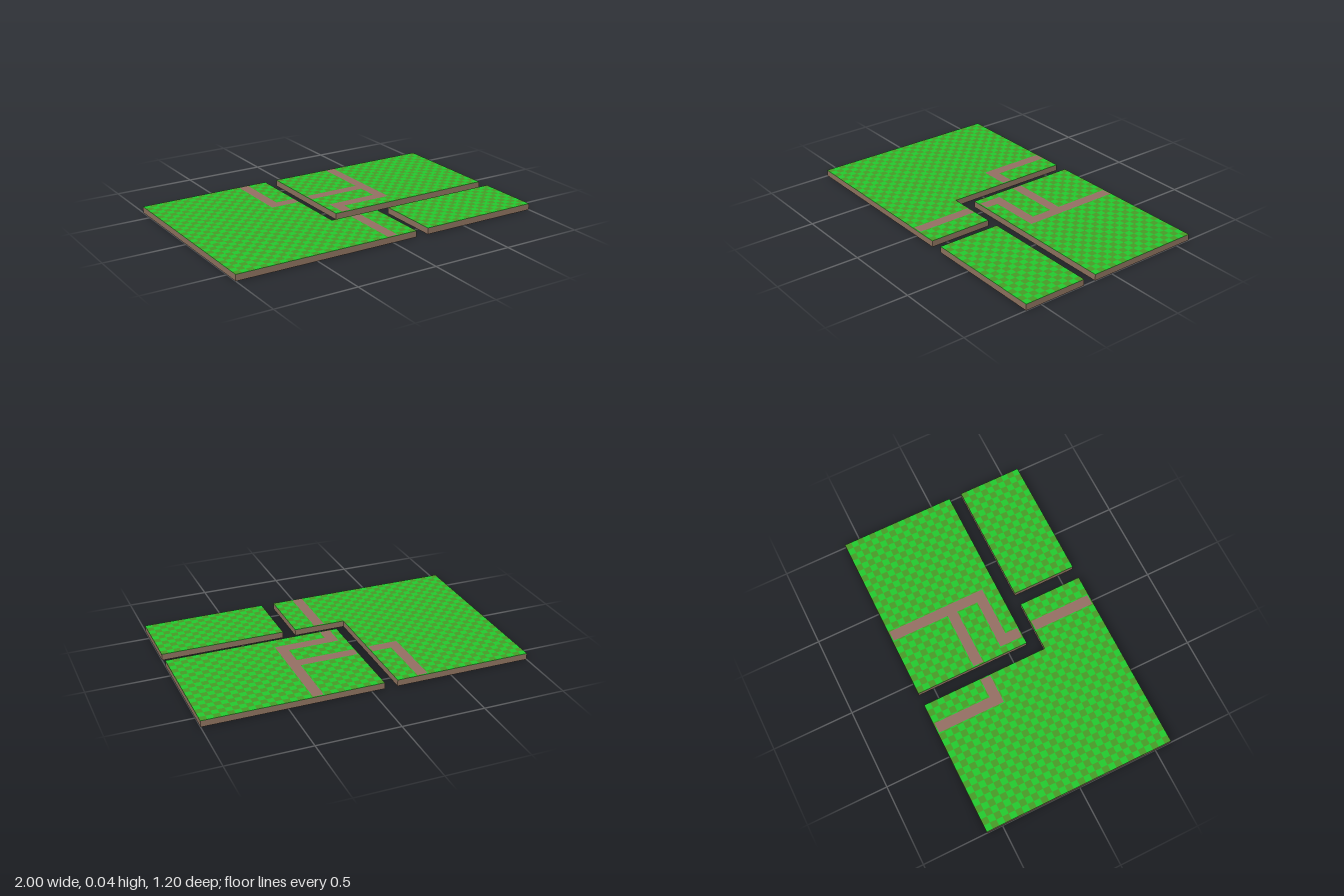
import * as THREE from 'three';
import { mergeGeometries } from 'three/addons/utils/BufferGeometryUtils.js';

const TILE = 0.04, BASE_H = 0.037, GRASS_TOP = 0.039, TILE_TOP = 0.0395, PATH_TOP = 0.04;

// Outlines and path rectangles in (x, z); rectangles are [x0, z0, x1, z1]
const PLATES = [
  {
    name: 'leftField',
    outline: [[-1, -0.6], [-0.16, -0.6], [-0.16, 0.2], [0.16, 0.2], [0.16, 0.6], [-1, 0.6]],
    areas: [[-1, -0.6, -0.16, 0.6], [-0.16, 0.2, 0.16, 0.6]],
    paths: [
      [-0.352, -0.592, -0.288, -0.168],
      [-0.288, -0.232, -0.168, -0.168],
      [-0.032, 0.208, 0.032, 0.592],
    ],
  },
  {
    name: 'backField',
    outline: [[-0.08, -0.6], [1, -0.6], [1, 0.12], [-0.08, 0.12]],
    areas: [[-0.08, -0.6, 1, 0.12]],
    paths: [
      [0.288, -0.592, 0.352, 0.032],
      [-0.072, -0.232, 0.288, -0.168],
      [-0.032, -0.032, 0.288, 0.032],
      [-0.032, 0.032, 0.032, 0.112],
    ],
  },
  {
    name: 'frontField',
    outline: [[0.24, 0.2], [1, 0.2], [1, 0.6], [0.24, 0.6]],
    areas: [[0.24, 0.2, 1, 0.6]],
    paths: [],
  },
];

// Upright slab from an (x, z) outline
function slab(outline, y0, y1) {
  const shape = new THREE.Shape(outline.map(([x, z]) => new THREE.Vector2(x, -z)));
  return new THREE.ExtrudeGeometry(shape, { depth: y1 - y0, bevelEnabled: false })
    .rotateX(-Math.PI / 2)
    .translate(0, y0, 0);
}

// Flat upward-facing rectangle
function patch([x0, z0, x1, z1], y) {
  return new THREE.PlaneGeometry(x1 - x0, z1 - z0)
    .rotateX(-Math.PI / 2)
    .translate((x0 + x1) / 2, y, (z0 + z1) / 2);
}

// Every second square of the grid that covers the given areas
function checker(areas) {
  const tiles = [];
  for (const [x0, z0, x1, z1] of areas) {
    const [i0, j0, i1, j1] = [x0 + 1, z0 + 0.6, x1 + 1, z1 + 0.6].map((v) => Math.round(v / TILE));
    for (let i = i0; i < i1; i++) {
      for (let j = j0; j < j1; j++) {
        if ((i + j) % 2 === 0) continue;
        const x = -1 + i * TILE, z = -0.6 + j * TILE;
        tiles.push(patch([x, z, x + TILE, z + TILE], TILE_TOP));
      }
    }
  }
  return mergeGeometries(tiles);
}

export function createModel() {
  const model = new THREE.Group();
  model.name = 'groundPlates';
  const soil = new THREE.MeshStandardMaterial({ color: 0x8f7360 });
  const grass = new THREE.MeshStandardMaterial({ color: 0x22cc2e });
  const darkGrass = new THREE.MeshStandardMaterial({ color: 0x489e28 });
  const dirt = new THREE.MeshStandardMaterial({ color: 0x967064 });

  for (const { name, outline, areas, paths } of PLATES) {
    const plate = new THREE.Group();
    plate.name = name;
    const add = (part, geometry, material) => {
      const mesh = new THREE.Mesh(geometry, material);
      mesh.name = part;
      plate.add(mesh);
    };
    add('soilSlab', slab(outline, 0, BASE_H), soil);
    add('grassLayer', slab(outline, BASE_H, GRASS_TOP), grass);
    add('darkGrassTiles', checker(areas), darkGrass);
    if (paths.length) add('dirtPath', mergeGeometries(paths.map((p) => patch(p, PATH_TOP))), dirt);
    model.add(plate);
  }
  return model;
}
